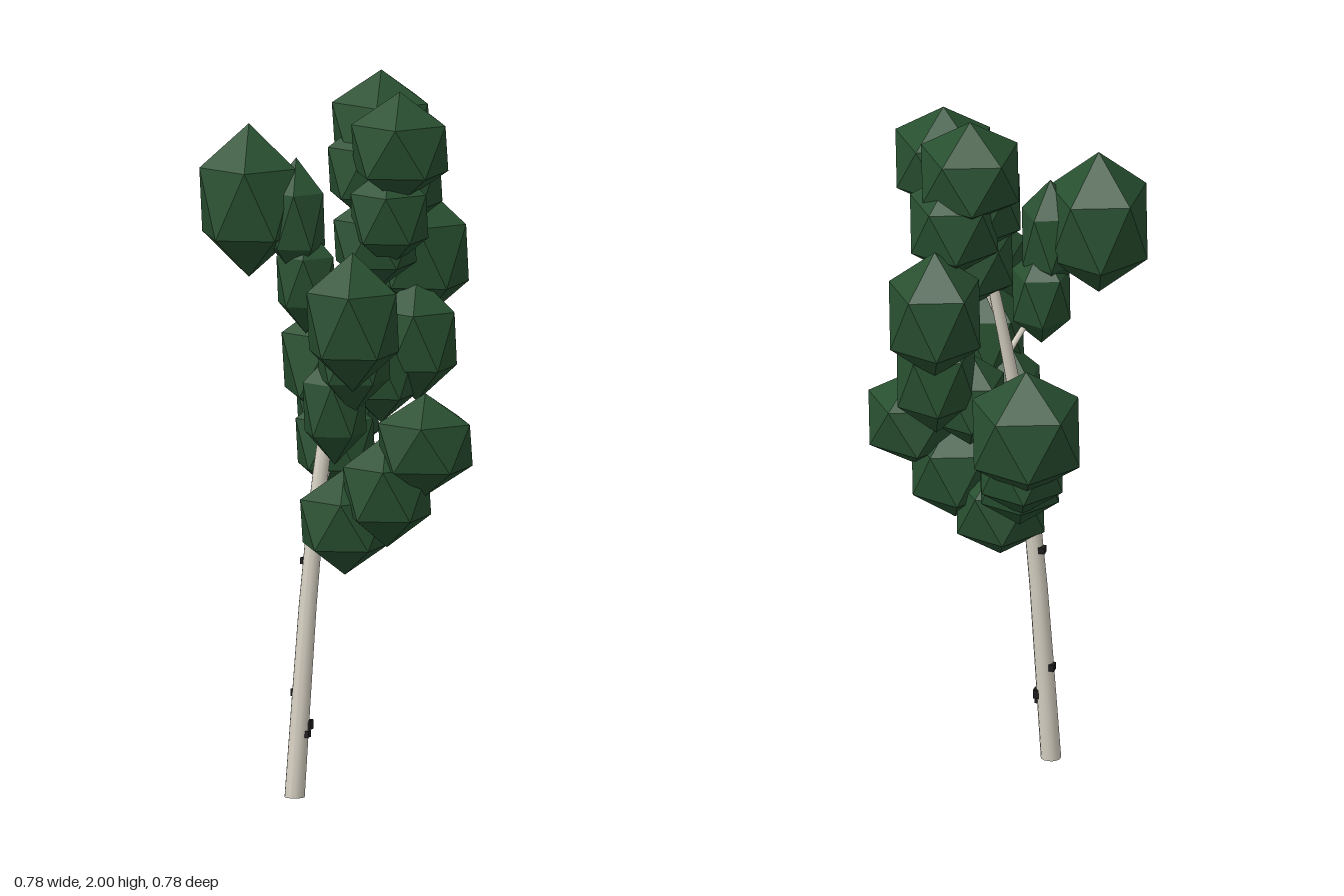
import * as THREE from 'three';

const material = (name, color) => {
  const m = new THREE.MeshStandardMaterial({ color });
  m.name = name;
  return m;
};

export function createModel() {
  const tree = new THREE.Group();
  tree.name = 'birchTree';
  const bark = material('paleBark', 0xd6d0c2);
  const knot = material('darkKnot', 0x1c1c1c);
  const leaf = material('darkGreenLeaf', 0x284f30);
  leaf.flatShading = true;

  const add = (name, geometry, mat) => {
    const mesh = new THREE.Mesh(geometry, mat);
    mesh.name = name;
    tree.add(mesh);
    return mesh;
  };

  // Tapered limb: a capped cylinder bent along a smooth path
  function limb(name, points, r0, r1, sides) {
    const path = new THREE.CatmullRomCurve3(points);
    const g = new THREE.CylinderGeometry(r1, r0, 1, sides, 10);
    const pos = g.attributes.position;
    for (let i = 0; i < pos.count; i++) {
      const c = path.getPoint(THREE.MathUtils.clamp(pos.getY(i) + 0.5, 0, 1));
      pos.setXYZ(i, c.x + pos.getX(i), c.y, c.z + pos.getZ(i));
    }
    g.computeVertexNormals();
    add(name, g, bark);
  }

  // Leaning trunk
  const trunk = [
    new THREE.Vector3(-0.116, 0, 0.1),
    new THREE.Vector3(-0.08, 0.65, 0.068),
    new THREE.Vector3(-0.045, 1.05, 0.035),
    new THREE.Vector3(0, 1.4, -0.015),
    new THREE.Vector3(0.06, 1.72, -0.05),
  ];
  limb('trunk', trunk, 0.028, 0.012, 14);
  const trunkPath = new THREE.CatmullRomCurve3(trunk);

  // Knots, standing out of the bark on alternating sides
  const addKnot = (t, side, height, z) => {
    const p = trunkPath.getPoint(t);
    add('barkKnot', new THREE.BoxGeometry(0.02, height, 0.022), knot)
      .position.set(p.x + side * 0.022, p.y, p.z + z);
  };
  addKnot(0.066, 1, 0.018, 0.002);
  addKnot(0.075, 1, 0.026, -0.01);
  addKnot(0.107, -1, 0.02, -0.008);
  addKnot(0.25, -1, 0.018, -0.008);

  // Leaf clump: an upright icosahedron, a corner on top, stretched in height
  function clump(centre, radius, half) {
    const g = new THREE.IcosahedronGeometry(1, 0);
    g.rotateZ(Math.atan(2 / (1 + Math.sqrt(5))));
    g.rotateY(Math.PI);
    g.scale(radius, half, radius);
    add('leafClump', g.translate(centre.x, centre.y, centre.z), leaf);
  }

  // Cluster: a branch from the trunk with clumps of x, y, z, radius, half height
  function cluster(t, ...clumps) {
    const centres = clumps.map(([x, y, z]) => new THREE.Vector3(x, y, z));
    limb('branch', [trunkPath.getPoint(t), ...centres], 0.01, 0.005, 7);
    clumps.forEach(([, , , radius, half], i) => clump(centres[i], radius, half));
  }

  // Low right
  cluster(0.25, [0.018, 0.767, 0.065, 0.14, 0.147],
    [0.15, 0.865, 0.08, 0.138, 0.157], [0.262, 1.0, 0.075, 0.148, 0.142]);
  // Low back left
  cluster(0.35, [-0.085, 0.955, -0.11, 0.125, 0.15],
    [-0.115, 1.03, -0.195, 0.13, 0.15], [-0.14, 1.153, -0.24, 0.17, 0.187]);
  // Front
  cluster(0.45, [0.003, 1.09, 0.1, 0.1, 0.16],
    [0.07, 1.25, 0.125, 0.115, 0.17], [0.13, 1.362, 0.27, 0.145, 0.193]);
  // Back right
  cluster(0.5, [0.06, 1.16, -0.09, 0.11, 0.14],
    [0.14, 1.25, -0.15, 0.125, 0.175], [0.122, 1.475, -0.23, 0.145, 0.19]);
  // Left
  cluster(0.65, [-0.1, 1.43, 0.06, 0.092, 0.15],
    [-0.12, 1.6, 0.08, 0.09, 0.17], [-0.25, 1.647, 0.105, 0.155, 0.213]);
  // Crown front
  cluster(0.72, [0.08, 1.54, 0, 0.13, 0.14],
    [0.14, 1.62, 0.04, 0.122, 0.145], [0.175, 1.813, 0.05, 0.152, 0.155]);
  // Crown back
  cluster(0.8, [0.1, 1.7, -0.11, 0.14, 0.16],
    [0.05, 1.73, -0.03, 0.13, 0.15], [0.062, 1.845, -0.085, 0.155, 0.155]);
  return tree;
}
